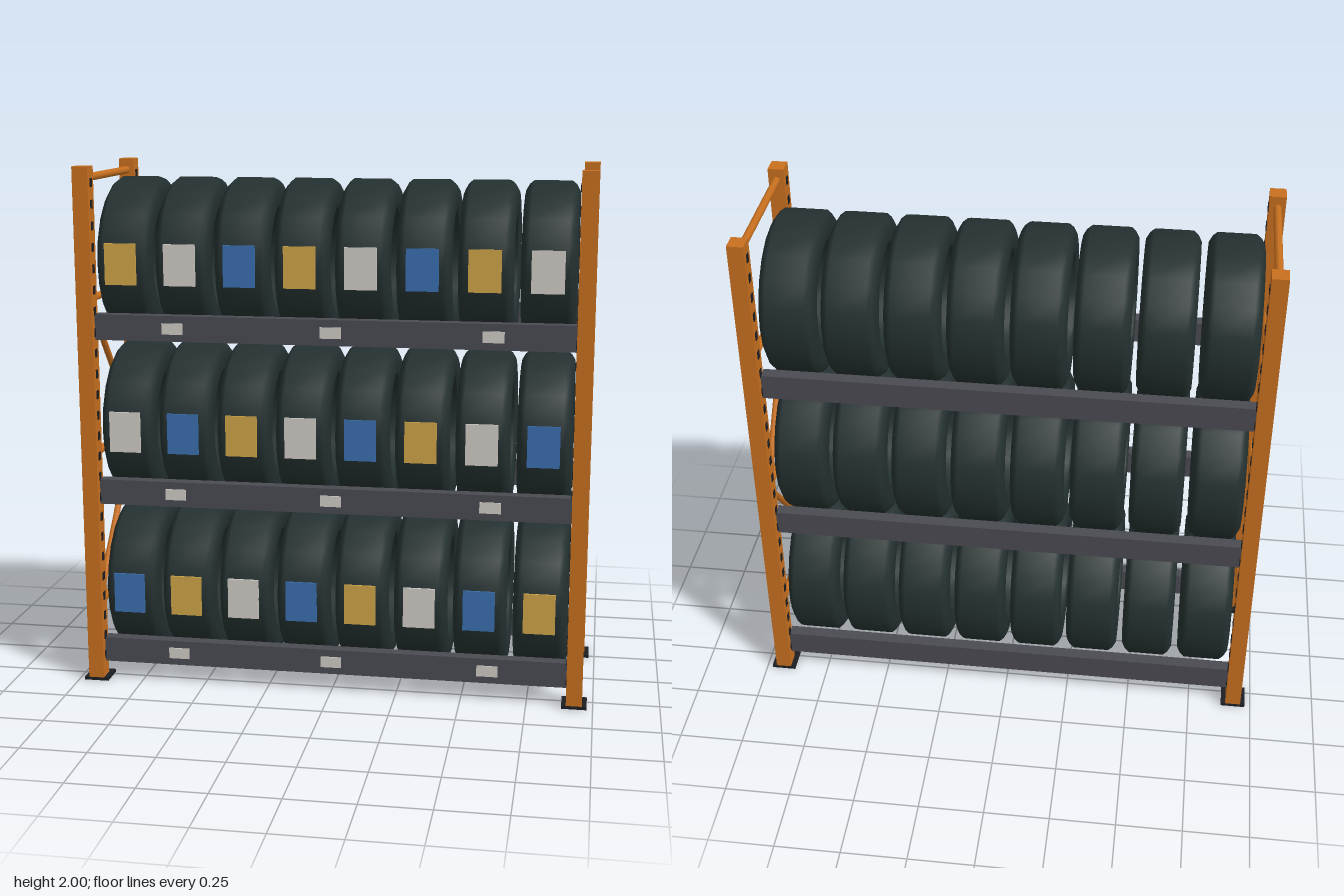
import * as THREE from 'three';

const paint = (name, color) => {
  const m = new THREE.MeshStandardMaterial({ color });
  m.name = name;
  return m;
};

export function createModel() {
  const orange = paint('orange steel', 0xc8701f);
  const grey = paint('grey beam', 0x4a4b52);
  const rubber = paint('tire rubber', 0x243030);
  const dark = paint('dark steel', 0x1c1e22);
  const yellow = paint('yellow label', 0xd0a548);
  const white = paint('white label', 0xd2cec8);
  const blue = paint('blue label', 0x3a6fb0);

  const rack = new THREE.Group();
  rack.name = 'tireRack';

  const add = (name, geometry, material, x, y, z) => {
    const mesh = new THREE.Mesh(geometry, material);
    mesh.name = name;
    mesh.position.set(x, y, z);
    rack.add(mesh);
    return mesh;
  };

  // Round bar between two points
  const bar = (name, a, b, radius) => {
    const d = b.clone().sub(a);
    const mid = a.clone().add(b).multiplyScalar(0.5);
    const mesh = add(name, new THREE.CylinderGeometry(radius, radius, d.length(), 8), orange, mid.x, mid.y, mid.z);
    mesh.quaternion.setFromUnitVectors(new THREE.Vector3(0, 1, 0), d.normalize());
  };

  // Uprights with base plates and a column of slots on the inner face
  const postGeo = new THREE.BoxGeometry(0.06, 1.99, 0.068);
  const footGeo = new THREE.BoxGeometry(0.095, 0.012, 0.1);
  const slotGeo = new THREE.BoxGeometry(0.006, 0.032, 0.02);
  for (const sx of [-1, 1]) {
    for (const sz of [-1, 1]) {
      add('post', postGeo, orange, sx * 0.93, 1.005, sz * 0.295);
      add('basePlate', footGeo, dark, sx * 0.93, 0.006, sz * 0.28);
      for (let y = 0.1; y < 1.95; y += 0.08) add('postSlot', slotGeo, dark, sx * 0.9, y, sz * 0.295);
    }

    // Side frame: level bars and zigzag braces
    const at = (y, z) => new THREE.Vector3(sx * 0.93, y, z);
    for (const y of [0.3, 0.9, 1.5, 1.955]) bar('crossBar', at(y, 0.27), at(y, -0.27), 0.015);
    bar('diagonalBrace', at(1.5, 0.265), at(0.9, -0.265), 0.013);
    bar('diagonalBrace', at(0.9, -0.265), at(0.3, 0.265), 0.013);
  }

  // Tire cross-section, a closed loop spun round the axle
  const profile = [
    [0.197, -0.09], [0.215, -0.1], [0.27, -0.1], [0.293, -0.087], [0.307, -0.07],
    [0.307, 0.07], [0.293, 0.087], [0.27, 0.1], [0.215, 0.1], [0.197, 0.09], [0.197, -0.09],
  ].map(([r, w]) => new THREE.Vector2(r, w));
  const tireGeo = new THREE.LatheGeometry(profile, 20).rotateZ(Math.PI / 2);

  const beamGeo = new THREE.BoxGeometry(1.8, 0.097, 0.048);
  const tagGeo = new THREE.BoxGeometry(0.08, 0.042, 0.006);
  const labelGeo = new THREE.BoxGeometry(0.12, 0.155, 0.008);
  const labels = [yellow, white, blue];

  // Three shelves, listed from the top
  [1.64, 1.0, 0.36].forEach((y, row) => {
    const beamY = y - 0.24;
    for (const sz of [-1, 1]) add('beam', beamGeo, grey, 0, beamY, sz * 0.274);
    for (const x of [-0.6, 0, 0.6]) add('beamTag', tagGeo, white, x, beamY, 0.3);
    for (let i = 0; i < 8; i++) {
      const x = (i - 3.5) * 0.226;
      add('tire', tireGeo, rubber, x, y, 0);
      add('tireLabel', labelGeo, labels[(i + row) % 3], x, y, 0.308);
    }
  });

  return rack;
}
